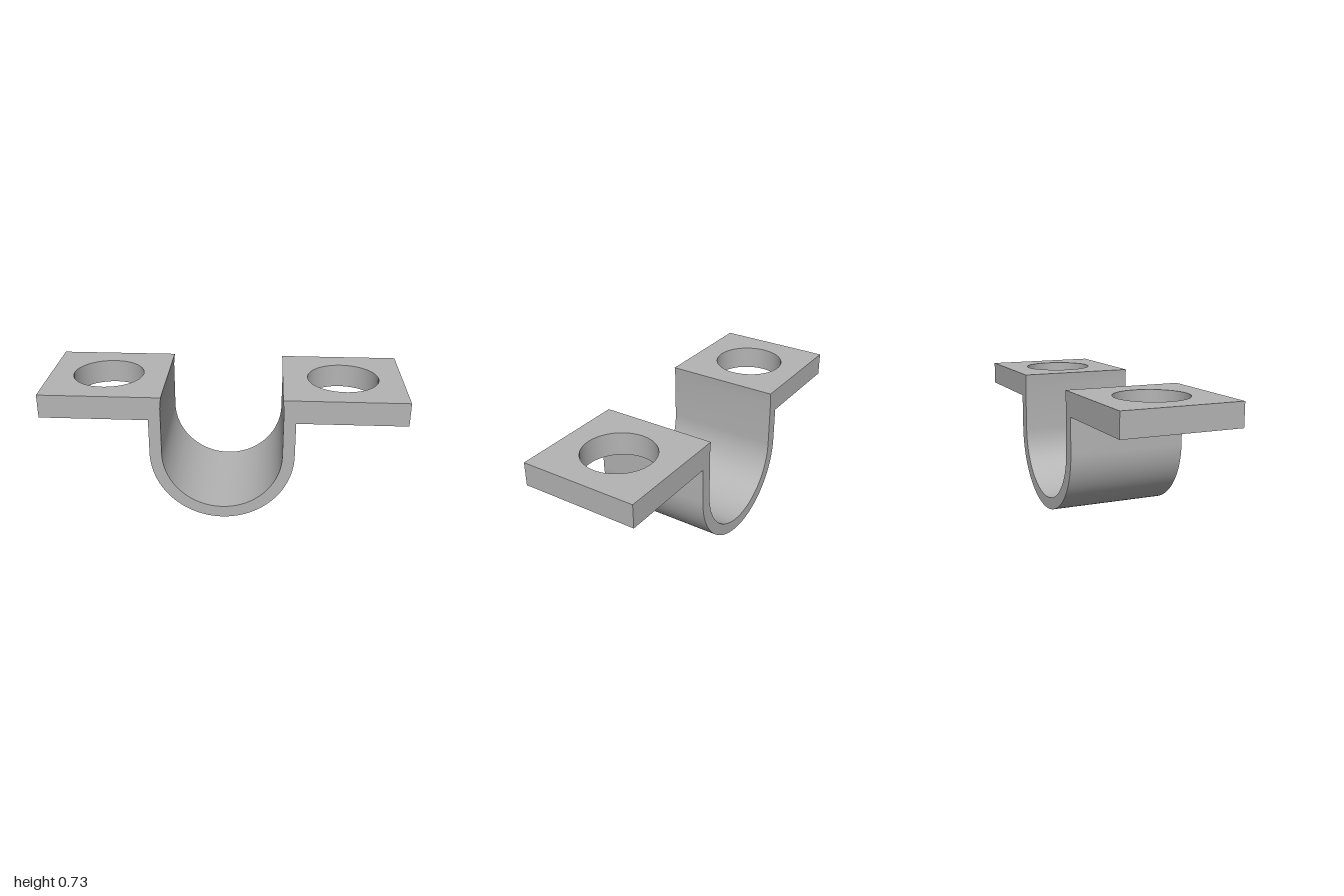
import * as THREE from 'three';
import { toCreasedNormals } from 'three/addons/utils/BufferGeometryUtils.js';

const WIDTH = 2 / 3;     // strap width along z
const TOP = 0.733;       // top of the flanges
const LEDGE = 0.6;       // underside of the flanges
const OUTER = 0.4;       // saddle radii and arc centre height
const INNER = 0.333;

function extrude(shape, depth) {
  return new THREE.ExtrudeGeometry(shape, { depth, bevelEnabled: false, curveSegments: 48 });
}

export function createModel() {
  const group = new THREE.Group();
  group.name = 'pipeClamp';
  const steel = new THREE.MeshStandardMaterial({ color: 0xb4b4b4 });
  steel.name = 'grey steel';

  const add = (name, geometry) => {
    const mesh = new THREE.Mesh(toCreasedNormals(geometry, Math.PI / 6), steel);
    mesh.name = name;
    group.add(mesh);
  };

  // U-shaped saddle, its mouth pinched slightly at the top
  const u = new THREE.Shape();
  u.moveTo(-OUTER, TOP);
  u.lineTo(-OUTER, OUTER);
  u.absarc(0, OUTER, OUTER, Math.PI, Math.PI * 2, false);
  u.lineTo(OUTER, TOP);
  u.lineTo(0.327, TOP);
  u.lineTo(INNER, 0.67);
  u.lineTo(INNER, OUTER);
  u.absarc(0, OUTER, INNER, 0, -Math.PI, true);
  u.lineTo(-INNER, 0.67);
  u.lineTo(-0.327, TOP);
  u.closePath();
  add('saddle', extrude(u, WIDTH).translate(0, 0, -WIDTH / 2));

  // Mounting flanges, each with a round bolt hole
  for (const [name, side] of [['leftFlange', 1], ['rightFlange', -1]]) {
    const x0 = side > 0 ? OUTER : -1;
    const x1 = x0 + 1 - OUTER;
    const h = WIDTH / 2;
    const plate = new THREE.Shape([
      new THREE.Vector2(x0, -h), new THREE.Vector2(x1, -h),
      new THREE.Vector2(x1, h), new THREE.Vector2(x0, h),
    ]);
    plate.holes.push(new THREE.Path().absarc(side * 0.667, 0, 0.2, 0, Math.PI * 2, true));
    add(name, extrude(plate, TOP - LEDGE).rotateX(-Math.PI / 2).translate(0, LEDGE, 0));
  }

  return group;
}
